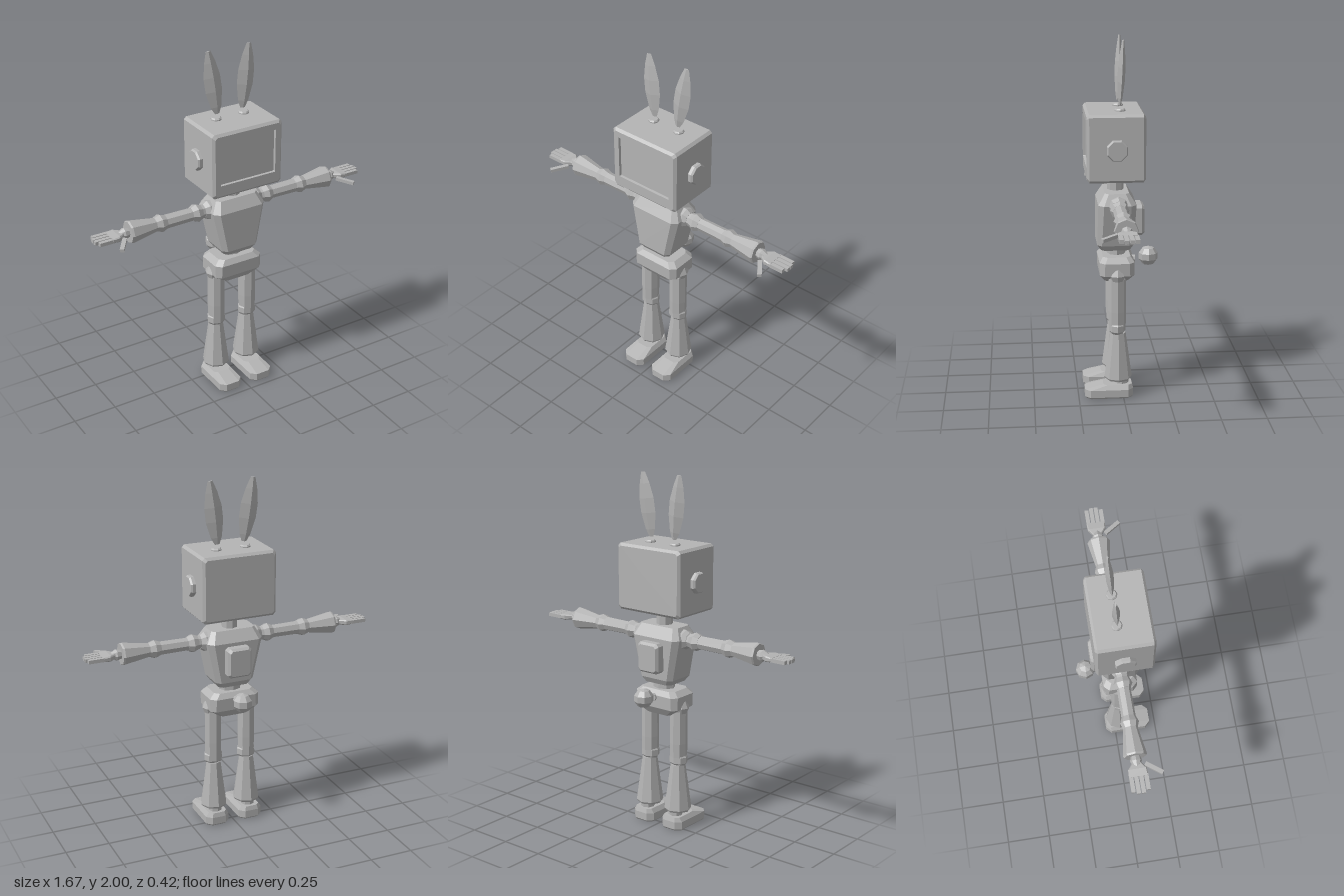
import * as THREE from 'three';

const grey = new THREE.MeshStandardMaterial({ color: 0xb4b4b4 });
grey.name = 'light grey';

// Chamfered-rectangle cross-sections stacked along y: [y, halfX, halfZ, chamfer, centreZ]
function loft(sections) {
  const rings = sections.map(([y, hx, hz, c, cz = 0]) => {
    const a = hx - c, b = hz - c;
    return [[hx, b], [hx, -b], [a, -hz], [-a, -hz], [-hx, -b], [-hx, b], [-a, hz], [a, hz]]
      .map(([x, z]) => [x, y, z + cz]);
  });
  const pos = [];
  const tri = (...points) => points.forEach(p => pos.push(...p));
  const centre = i => [0, sections[i][0], sections[i][4] ?? 0];
  const last = rings.length - 1;
  for (let i = 0; i < 8; i++) {
    const j = (i + 1) % 8;
    for (let k = 0; k < last; k++) {
      const a = rings[k], b = rings[k + 1];
      tri(a[i], a[j], b[j]);
      tri(a[i], b[j], b[i]);
    }
    tri(centre(0), rings[0][j], rings[0][i]);
    tri(centre(last), rings[last][i], rings[last][j]);
  }
  const g = new THREE.BufferGeometry();
  g.setAttribute('position', new THREE.Float32BufferAttribute(pos, 3));
  return g;
}

// Closed faceted solid of revolution along y: profile of [radius, y], bottom to top
function turned(profile, sides = 8) {
  const pts = [[0, profile[0][1]], ...profile, [0, profile[profile.length - 1][1]]];
  return new THREE.LatheGeometry(pts.map(p => new THREE.Vector2(...p)), sides);
}

function add(parent, name, geometry, x = 0, y = 0, z = 0) {
  const g = geometry.index ? geometry.toNonIndexed() : geometry;
  g.computeVertexNormals();
  const mesh = new THREE.Mesh(g, grey);
  mesh.name = name;
  mesh.position.set(x, y, z);
  parent.add(mesh);
  return mesh;
}

function group(parent, name) {
  const g = new THREE.Group();
  g.name = name;
  parent.add(g);
  return g;
}

function buildHead(model) {
  const head = group(model, 'head');
  // Casing with a recessed screen in the front
  add(head, 'headCasing', loft([
    [-0.115, 0.2, 0.17, 0.012], [-0.102, 0.214, 0.184, 0.014],
    [0.187, 0.214, 0.184, 0.014], [0.2, 0.2, 0.17, 0.012],
    [0.2, 0.17, 0.123, 0.002, -0.012], [0.186, 0.168, 0.121, 0.002, -0.012],
  ]).rotateX(Math.PI / 2), 0, 1.435, 0);
  for (const s of [1, -1]) {
    add(head, 'sideKnob', turned([[0.06, 0.2], [0.06, 0.232], [0.053, 0.242]])
      .rotateY(Math.PI / 8).rotateZ(-s * Math.PI / 2), 0, 1.43, 0.04);
    add(head, 'earStub', turned([[0.03, 1.61], [0.03, 1.625], [0.024, 1.632]]), s * 0.085, 0, 0.015);
    const ear = add(head, 'ear',
      turned([[0.014, 0], [0.032, 0.04], [0.05, 0.13], [0.05, 0.21], [0.034, 0.29], [0.014, 0.352]], 4)
        .scale(1, 1, 0.4), s * 0.078, 1.65, 0.015);
    ear.rotation.set(-0.04, 0, -s * 0.13);
  }
}

function buildBody(model) {
  const body = group(model, 'body');
  add(body, 'neck', turned([[0.045, 1.15], [0.045, 1.27]]), 0, 0, 0.033);
  add(body, 'chest', loft([
    [0.843, 0.09, 0.08, 0.02, 0.038], [0.875, 0.112, 0.1, 0.025, 0.04],
    [1.11, 0.162, 0.104, 0.03, 0.032], [1.172, 0.128, 0.066, 0.02, 0.033],
  ]));
  add(body, 'waist', turned([[0.066, 0.79], [0.066, 0.86]]).scale(1, 1, 0.8), 0, 0, 0.03);
  add(body, 'pelvis', loft([
    [0.665, 0.08, 0.065, 0.015, 0.033], [0.71, 0.145, 0.095, 0.025, 0.033],
    [0.782, 0.147, 0.097, 0.03, 0.033], [0.81, 0.115, 0.076, 0.025, 0.033],
  ]));
  // Pack on the back
  add(body, 'backPack', loft([
    [0, 0.07, 0.085, 0.015], [0.065, 0.07, 0.085, 0.015], [0.08, 0.058, 0.073, 0.012],
  ]).rotateX(-Math.PI / 2), 0, 1.005, -0.043);
  // Tail ball floating behind its stub
  add(body, 'tailStub', turned([[0.022, 0], [0.022, 0.03]]).rotateX(-Math.PI / 2), 0, 0.77, -0.045);
  add(body, 'tailBall', new THREE.SphereGeometry(0.056, 8, 5), 0, 0.785, -0.15);
}

function buildArm(model, s) {
  const arm = group(model, s > 0 ? 'leftArm' : 'rightArm');
  arm.position.set(0, 1.105, 0.028);
  const segments = {
    shoulderSocket: [[0.055, 0.1], [0.055, 0.155], [0.04, 0.18]],
    shoulderJoint: [[0.036, 0.16], [0.04, 0.195], [0.052, 0.225], [0.038, 0.255]],
    upperArm: [[0.037, 0.24], [0.039, 0.42]],
    elbow: [[0.036, 0.405], [0.051, 0.445], [0.036, 0.485]],
    forearm: [[0.038, 0.47], [0.064, 0.625], [0.06, 0.635]],
    wrist: [[0.025, 0.63], [0.032, 0.66], [0.016, 0.69]],
  };
  for (const [name, profile] of Object.entries(segments))
    add(arm, name, turned(profile).rotateZ(-s * Math.PI / 2));
  // Flat hand with four fingers and a thumb pointing forward
  add(arm, 'palm', loft([
    [0.668, 0.013, 0.022, 0.006], [0.705, 0.016, 0.05, 0.006], [0.745, 0.011, 0.052, 0.005],
  ]).rotateZ(-s * Math.PI / 2));
  [0.09, 0.1, 0.1, 0.085].forEach((length, i) =>
    add(arm, 'finger', new THREE.BoxGeometry(length, 0.02, 0.022),
      s * (0.737 + length / 2), 0, (i - 1.5) * 0.027));
  const thumb = add(arm, 'thumb', new THREE.BoxGeometry(0.105, 0.018, 0.023), s * 0.708, -0.012, 0.088);
  thumb.rotation.set(0, -s * 0.95, -s * 0.1);
}

function buildLeg(model, s) {
  const leg = group(model, s > 0 ? 'leftLeg' : 'rightLeg');
  leg.position.set(s * 0.102, 0, 0.032);
  add(leg, 'hipJoint', new THREE.SphereGeometry(0.05, 8, 4), s * 0.012, 0.71, 0);
  add(leg, 'thigh', turned([[0.048, 0.42], [0.05, 0.5], [0.049, 0.69]]));
  add(leg, 'knee', turned([[0.042, 0.37], [0.054, 0.385], [0.054, 0.42], [0.042, 0.438]]).scale(1, 1, 0.85));
  add(leg, 'shin', turned([[0.07, 0.1], [0.077, 0.112], [0.042, 0.375]]), 0, 0, -0.005);
  add(leg, 'ankle', turned([[0.04, 0.06], [0.04, 0.12]]), 0, 0, -0.025);
  add(leg, 'foot', loft([
    [0, 0.062, 0.126, 0.025, 0.08], [0.01, 0.07, 0.135, 0.03, 0.08],
    [0.052, 0.07, 0.135, 0.03, 0.08], [0.077, 0.054, 0.08, 0.02, 0.032],
  ]), 0, 0, -0.032);
}

export function createModel() {
  const model = new THREE.Group();
  model.name = 'robot';
  buildHead(model);
  buildBody(model);
  for (const s of [1, -1]) {
    buildArm(model, s);
    buildLeg(model, s);
  }
  return model;
}
